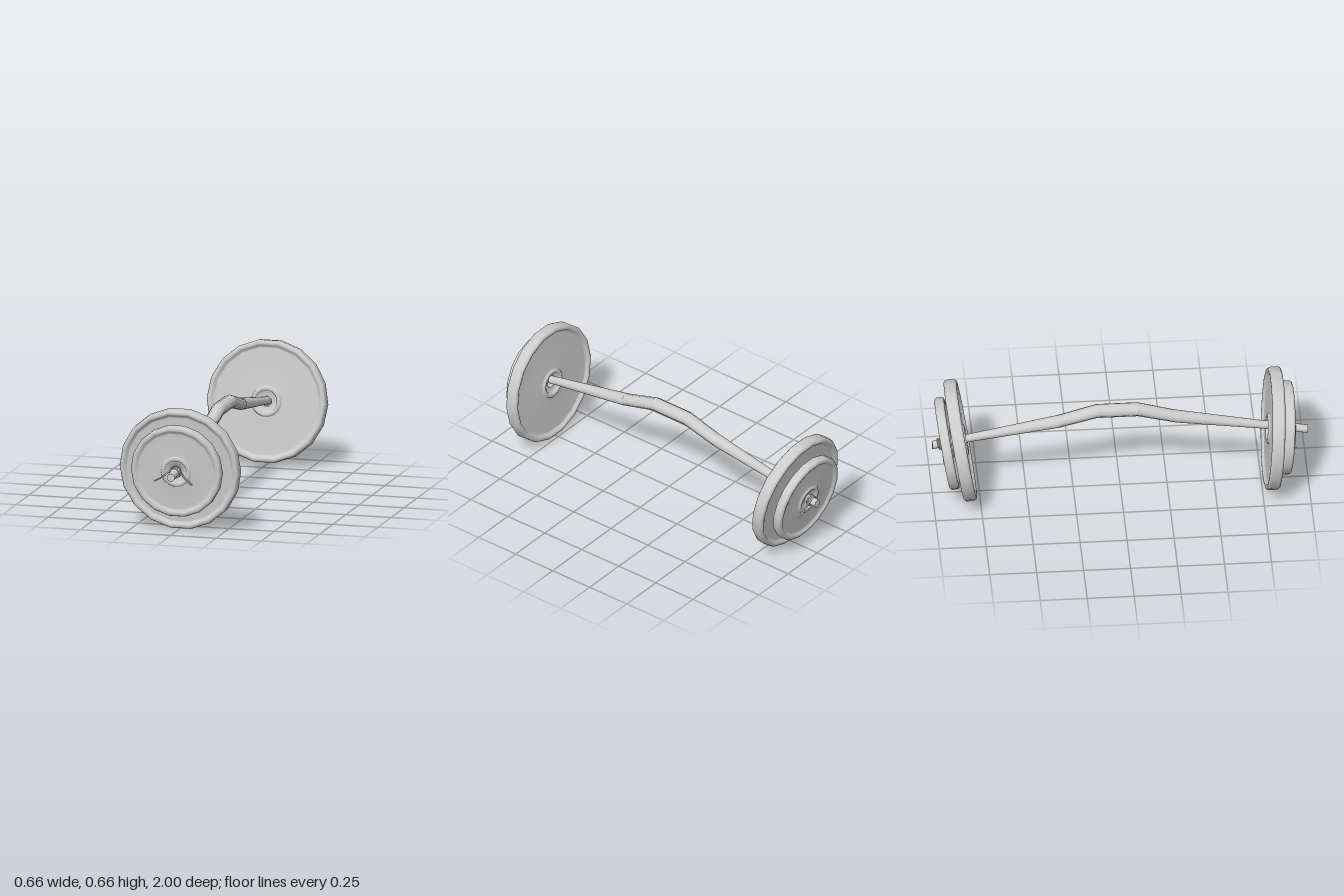
import * as THREE from 'three';

const grey = new THREE.MeshStandardMaterial({ color: 0xcccccc, side: THREE.DoubleSide });

function mesh(geometry, name) {
  const m = new THREE.Mesh(geometry, grey);
  m.name = name;
  return m;
}

// Cast plate with rounded rim, recessed web and raised hub ring; axis along z
function plate(radius, thick, name) {
  const h = thick / 2, web = h * 0.55;
  const half = [
    [0.027, web * 0.9], [0.055, web * 0.9], [0.06, h * 0.9], [0.066, h],
    [0.075, h], [0.081, h * 0.9], [0.086, web],
    [radius - 0.043, web], [radius - 0.035, web * 1.15], [radius - 0.027, h * 0.93],
    [radius - 0.02, h], [radius - 0.011, h], [radius - 0.004, h * 0.85], [radius, h * 0.6],
  ];
  const lower = half.map(([r, y]) => new THREE.Vector2(r, -y));
  const upper = half.map(([r, y]) => new THREE.Vector2(r, y)).reverse();
  const g = new THREE.LatheGeometry([...lower, ...upper, lower[0].clone()], 18, Math.PI / 2);
  g.rotateX(Math.PI / 2);
  return mesh(g, name);
}

// Bar section between two [z, y, radius] stations, ends kept upright so joints meet
function barSection(a, b, name, fluted) {
  const sides = fluted ? 32 : 18;
  const g = new THREE.CylinderGeometry(b[2], a[2], 1, sides, 1);
  g.rotateX(Math.PI / 2);
  const p = g.attributes.position;
  for (let i = 0; i < p.count; i++) {
    const t = p.getZ(i) + 0.5;
    const angle = Math.atan2(p.getY(i), p.getX(i));
    const step = Math.round((angle / (2 * Math.PI)) * sides);
    const s = fluted && step % 2 !== 0 ? 0.93 : 1;
    const squash = THREE.MathUtils.lerp(a[2], b[2], t) > 0.03 ? 0.93 : 1;
    p.setXYZ(i, p.getX(i) * s,
      p.getY(i) * s * squash + THREE.MathUtils.lerp(a[1], b[1], t),
      THREE.MathUtils.lerp(a[0], b[0], t));
  }
  g.computeVertexNormals();
  return mesh(g, name);
}

// Spring clip: wire coil round the bar with two splayed handles
function springClip() {
  const pts = [new THREE.Vector3(-0.113, -0.05, 0.004), new THREE.Vector3(-0.07, -0.025, 0.004)];
  const turns = 2.25, n = 36;
  for (let i = 0; i <= n; i++) {
    const a = Math.PI * 0.8 - (i / n) * turns * 2 * Math.PI;
    pts.push(new THREE.Vector3(0.027 * Math.cos(a), 0.027 * Math.sin(a), 0.004 - 0.02 * (i / n)));
  }
  pts.push(new THREE.Vector3(0.04, -0.018, -0.016), new THREE.Vector3(0.09, -0.067, -0.012));
  const g = new THREE.TubeGeometry(new THREE.CatmullRomCurve3(pts), 120, 0.0045, 6);
  return mesh(g, 'springClip');
}

export function createModel() {
  const model = new THREE.Group();
  model.name = 'barbell';

  // Bent bar: straight sleeves, tapered shafts and a three-part fluted grip
  const stations = [
    [-1, 0.318, 0.022], [-0.8, 0.355, 0.022], [-0.325, 0.438, 0.036],
    [-0.125, 0.494, 0.039], [0.094, 0.494, 0.039],
    [0.295, 0.438, 0.036], [0.77, 0.355, 0.022], [1, 0.315, 0.022],
  ];
  const names = ['sleeveBack', 'shaftBack', 'gripBack', 'gripMiddle', 'gripFront', 'shaftFront', 'sleeveFront'];
  const bar = new THREE.Group();
  bar.name = 'bar';
  names.forEach((name, i) =>
    bar.add(barSection(stations[i], stations[i + 1], name, name.startsWith('grip'))));
  model.add(bar);

  // Plates and clip at each end; the plates hang with a slight tilt
  const ends = [
    { name: 'frontWeights', dir: 1, tilt: 0.068, large: [0.328, 0.815], small: [0.329, 0.884], clip: [0.326, 0.925] },
    { name: 'backWeights', dir: -1, tilt: 0.16, large: [0.342, 0.85], small: [0.325, 0.921], clip: [0.322, 0.965] },
  ];
  for (const e of ends) {
    const end = new THREE.Group();
    end.name = e.name;
    const parts = [
      [plate(0.33, 0.068, 'largePlate'), e.large],
      [plate(0.25, 0.052, 'smallPlate'), e.small],
      [springClip(), e.clip],
    ];
    for (const [part, [y, z]] of parts) {
      part.position.set(0, y, z);
      part.rotation.x = e.tilt;
      end.add(part);
    }
    if (e.dir < 0) end.rotation.y = Math.PI;
    model.add(end);
  }
  return model;
}
